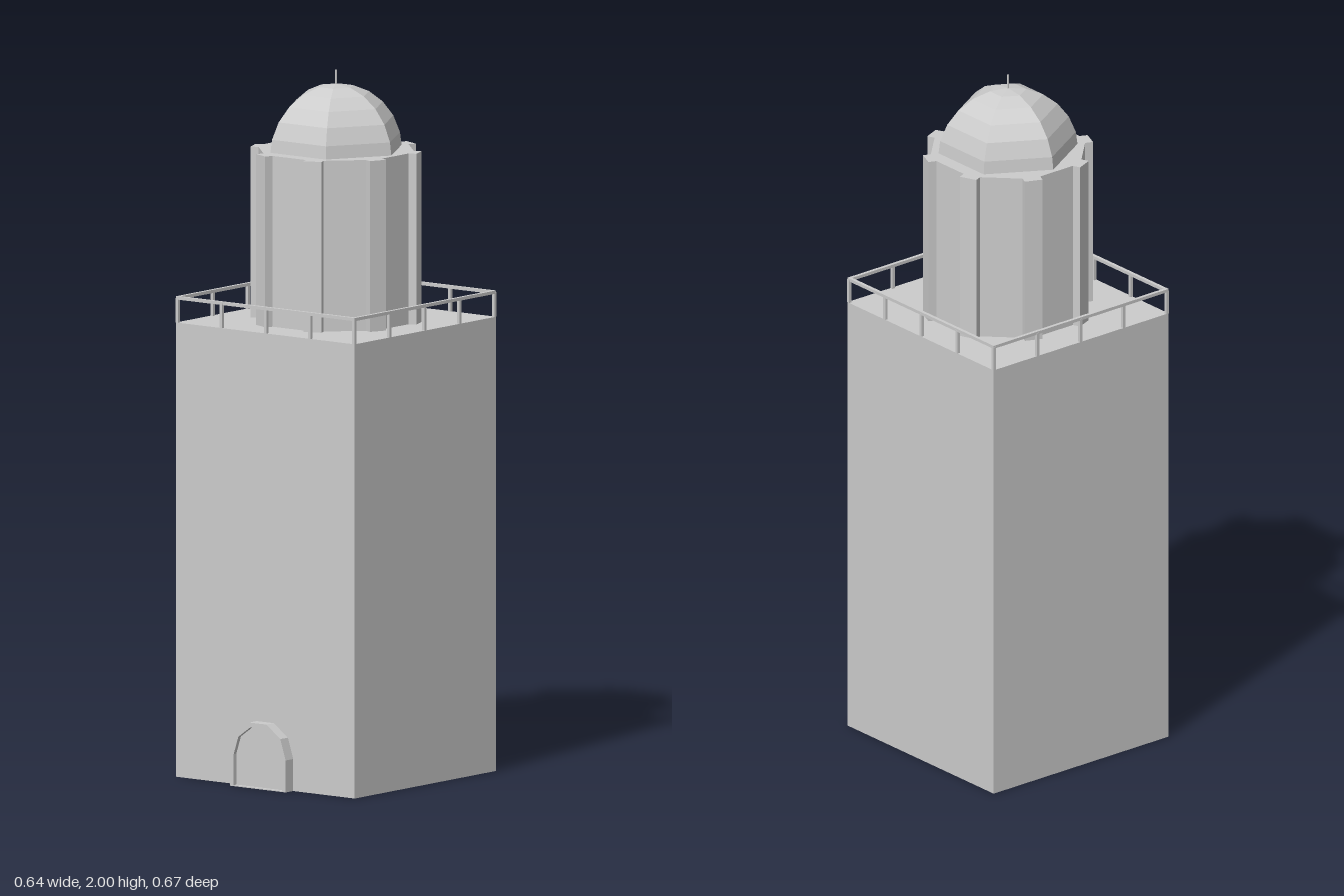
import * as THREE from 'three';

const CZ = -0.017; // tower axis
const material = new THREE.MeshStandardMaterial({ color: 0xcccccc, flatShading: true });

function add(parent, name, geometry, x = 0, y = 0, z = 0) {
  const mesh = new THREE.Mesh(geometry, material);
  mesh.name = name;
  mesh.position.set(x, y, z);
  parent.add(mesh);
  return mesh;
}

// Door outline: straight jambs and a five-sided round head
function archPoints(r, spring, bottom = 0) {
  const pts = [new THREE.Vector2(-r, bottom), new THREE.Vector2(r, bottom)];
  for (let i = 0; i <= 5; i++) {
    const a = (i / 5) * Math.PI;
    pts.push(new THREE.Vector2(Math.cos(a) * r, spring + Math.sin(a) * r));
  }
  return pts;
}

function extrude(shape, depth) {
  return new THREE.ExtrudeGeometry(shape, { depth, bevelEnabled: false });
}

export function createModel() {
  const model = new THREE.Group();
  model.name = 'tower';
  const top = 1.29;

  // Square shaft
  add(model, 'shaft', new THREE.BoxGeometry(0.64, top, 0.64), 0, top / 2, CZ);

  // Doorway: projecting arched frame with a slightly recessed door
  const doorway = new THREE.Group();
  doorway.name = 'doorway';
  doorway.position.z = 0.303;
  model.add(doorway);
  const frame = new THREE.Shape(archPoints(0.1, 0.091));
  frame.holes.push(new THREE.Path(archPoints(0.086, 0.091, 0.003)));
  add(doorway, 'doorFrame', extrude(frame, 0.034));
  add(doorway, 'door', extrude(new THREE.Shape(archPoints(0.086, 0.091, 0.003)), 0.022));

  // Railing: four equal sides of one rail and four posts each
  const railing = new THREE.Group();
  railing.name = 'railing';
  railing.position.set(0, top, CZ);
  model.add(railing);
  for (let s = 0; s < 4; s++) {
    const side = new THREE.Group();
    side.name = 'railingSide';
    side.rotation.y = (s * Math.PI) / 2;
    railing.add(side);
    add(side, 'handrail', new THREE.BoxGeometry(0.64, 0.009, 0.01), 0, 0.07, 0.315);
    for (let i = 0; i < 4; i++) {
      add(side, 'railPost', new THREE.BoxGeometry(0.009, 0.07, 0.009), -0.316 + i * 0.158, 0.035, 0.316);
    }
  }

  // Octagonal lantern with a pier on every corner
  const lantern = new THREE.Group();
  lantern.name = 'lantern';
  lantern.position.set(0, top, CZ);
  model.add(lantern);
  const height = 0.485;
  const radius = 0.212 / Math.cos(Math.PI / 8);
  const drum = add(lantern, 'drum', new THREE.CylinderGeometry(radius, radius, height, 8), 0, height / 2, 0);
  drum.rotation.y = Math.PI / 8;
  for (let i = 0; i < 8; i++) {
    const a = ((i + 0.5) * Math.PI) / 4;
    const pier = add(lantern, 'pier', new THREE.BoxGeometry(0.052, height, 0.06),
      Math.sin(a) * 0.212, height / 2, Math.cos(a) * 0.212);
    pier.rotation.y = a;
  }

  // Six-sided dome and finial
  add(model, 'dome', new THREE.SphereGeometry(0.2, 6, 6, 0, Math.PI * 2, 0, Math.PI / 2), 0, 1.76, CZ);
  add(model, 'finial', new THREE.CylinderGeometry(0.003, 0.003, 0.05, 6), 0, 1.975, CZ);

  return model;
}
